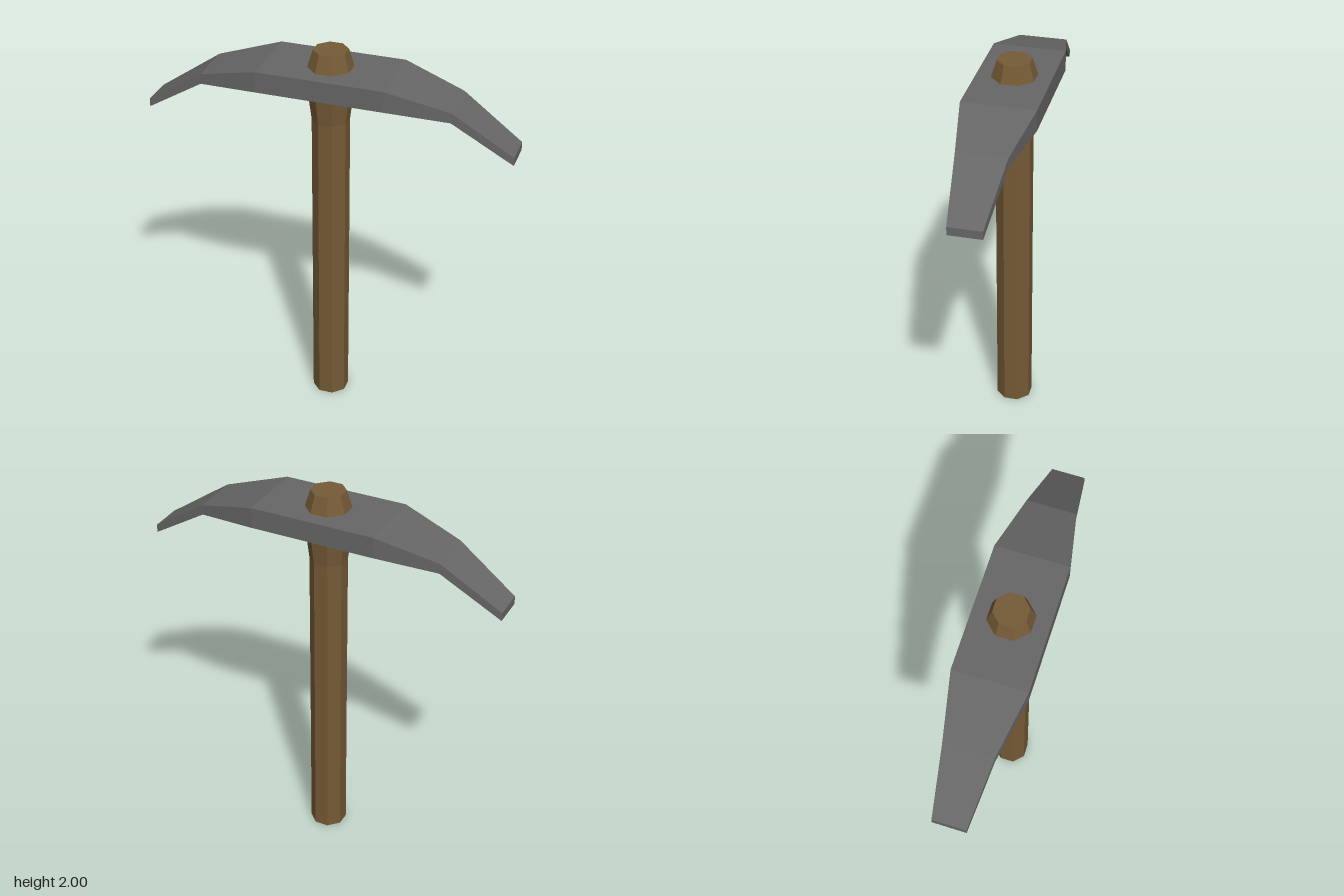
import * as THREE from 'three';

// Faceted bar: rectangular cross-sections [x, bottom, top, halfDepth] joined along x
function sectionBar(sections) {
  const positions = [];
  const index = [];
  for (const [x, bottom, top, w] of sections) {
    positions.push(x, top, w, x, top, -w, x, bottom, -w, x, bottom, w);
  }
  for (let i = 0; i < sections.length - 1; i++) {
    for (let j = 0; j < 4; j++) {
      const a = i * 4 + j;
      const d = i * 4 + (j + 1) % 4;
      index.push(a, a + 4, d + 4, a, d + 4, d);
    }
  }
  // End caps
  const e = (sections.length - 1) * 4;
  index.push(0, 1, 2, 0, 2, 3, e, e + 2, e + 1, e, e + 3, e + 2);
  const geometry = new THREE.BufferGeometry();
  geometry.setAttribute('position', new THREE.Float32BufferAttribute(positions, 3));
  geometry.setIndex(index);
  const flat = geometry.toNonIndexed();
  flat.computeVertexNormals();
  return flat;
}

export function createModel() {
  const group = new THREE.Group();
  const wood = new THREE.MeshStandardMaterial({ color: 0x755a36, flatShading: true });
  const iron = new THREE.MeshStandardMaterial({ color: 0x666666, flatShading: true });

  // Octagonal handle, flaring where it passes through the head
  const toCorner = 1 / Math.cos(Math.PI / 8);
  const profile = [[0, 0], [0.087, 0], [0.087, 1.63], [0.106, 1.8], [0.106, 1.91], [0.08, 2], [0, 2]]
    .map(([r, y]) => new THREE.Vector2(r * toCorner, y));
  const handle = new THREE.Mesh(new THREE.LatheGeometry(profile, 8, Math.PI / 8), wood);
  handle.name = 'handle';
  group.add(handle);

  // Curved pick head, tapering to both ends
  const half = [[0.32, 1.805, 1.912, 0.183], [0.63, 1.773, 1.825, 0.123], [0.933, 1.58, 1.622, 0.083]];
  const mirrored = half.map(([x, ...rest]) => [-x, ...rest]).reverse();
  const head = new THREE.Mesh(sectionBar([...mirrored, ...half]), iron);
  head.name = 'pickHead';
  group.add(head);

  return group;
}
